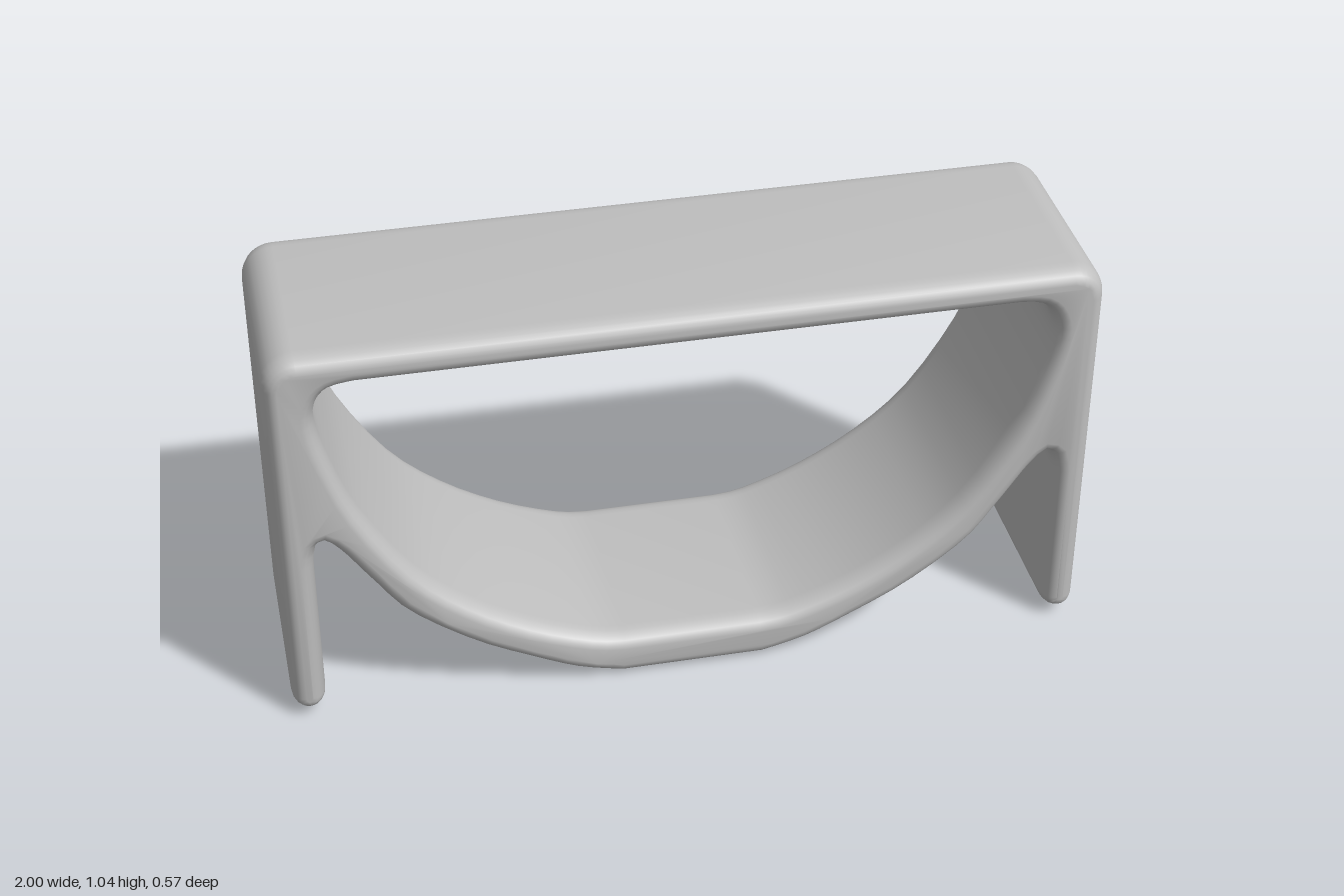
import * as THREE from 'three';
import { mergeVertices, toCreasedNormals } from 'three/addons/utils/BufferGeometryUtils.js';

const vec = ([x, y]) => new THREE.Vector2(x, y);

// Smooth run through a few points
const spline = (pts, n) => new THREE.SplineCurve(pts.map(vec)).getPoints(n);

// Rounded corner or tip as a circular arc
function arc(cx, cy, r, from, to, n = 8) {
  return Array.from({ length: n + 1 }, (_, i) => {
    const a = from + (to - from) * i / n;
    return new THREE.Vector2(cx + r * Math.cos(a), cy + r * Math.sin(a));
  });
}

// Close a right-hand half profile (bottom to top) with its mirror image
function mirrored(half) {
  const left = half.map(p => new THREE.Vector2(-p.x, p.y)).reverse();
  return [...half, ...left];
}

export function createModel() {
  const group = new THREE.Group();
  group.name = 'archedBench';
  const grey = new THREE.MeshStandardMaterial({ color: 0xbfbfbf });
  grey.name = 'matte grey';

  // Outer profile: belly of the arch, notch, leg tip, top corner
  const outer = [
    ...spline([[0.18, 0.002], [0.29, 0.03], [0.4, 0.08], [0.55, 0.16], [0.7, 0.275],
      [0.78, 0.38], [0.845, 0.475], [0.875, 0.51]], 20),
    ...spline([[0.89, 0.52], [0.905, 0.51], [0.915, 0.46]], 4),
    ...arc(0.957, 0.062, 0.042, Math.PI, Math.PI * 2, 10),
    ...arc(0.92, 0.965, 0.08, 0, Math.PI / 2),
  ];

  // Inner opening: inside of the arch up to the rounded upper corner
  const inner = [
    ...spline([[0.17, 0.12], [0.25, 0.132], [0.4, 0.19], [0.55, 0.28], [0.68, 0.4],
      [0.8, 0.59], [0.86, 0.75], [0.885, 0.86], [0.875, 0.92], [0.845, 0.952], [0.79, 0.962]], 30),
  ];

  const shape = new THREE.Shape(mirrored(outer));
  shape.holes.push(new THREE.Path(mirrored(inner)));

  // Sweep through the depth with softly rounded edges
  const half = 0.283, round = 0.055;
  let geo = new THREE.ExtrudeGeometry(shape, {
    depth: 2 * (half - round), steps: 1, curveSegments: 8,
    bevelEnabled: true, bevelThickness: round, bevelSize: 0.034, bevelOffset: -0.034, bevelSegments: 5,
  });
  geo.translate(0, 0, round - half);
  geo.deleteAttribute('normal');
  geo.deleteAttribute('uv');
  geo = toCreasedNormals(mergeVertices(geo, 1e-4), 0.7);

  const frame = new THREE.Mesh(geo, grey);
  frame.name = 'frameWithArch';
  group.add(frame);
  return group;
}
